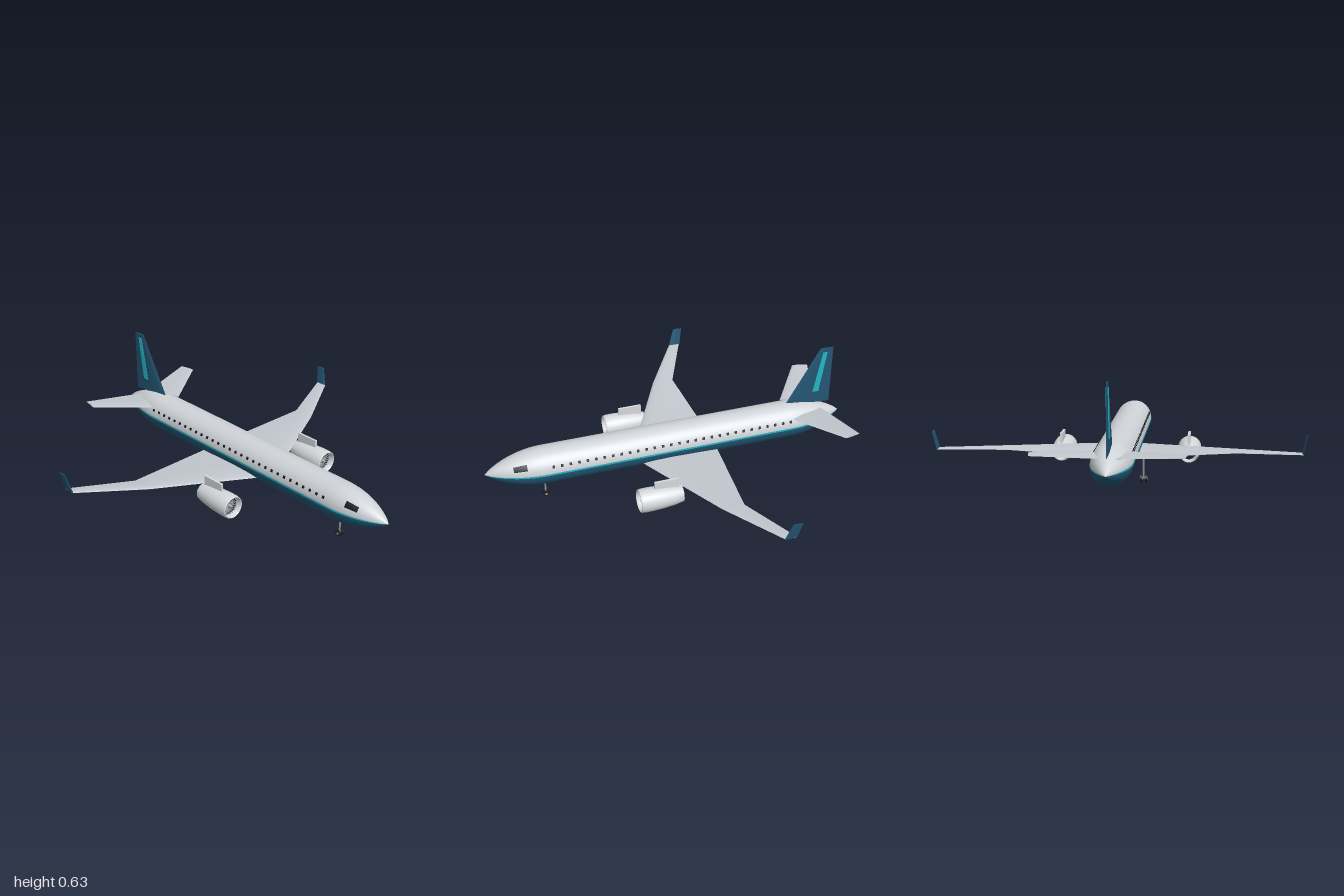
import * as THREE from 'three';
import { toCreasedNormals } from 'three/addons/utils/BufferGeometryUtils.js';

const mat = (name, color, side = THREE.FrontSide) => {
  const m = new THREE.MeshStandardMaterial({ color, side });
  m.name = name;
  return m;
};
const V = (x, y, z) => new THREE.Vector3(x, y, z);

// Fuselage radius along its length
const R = 0.103, AXIS = 0.209;
function bodyRadius(z) {
  const t = Math.max(0, (Math.abs(z) - 0.68) / 0.32);
  return R * Math.pow(Math.max(0, 1 - t * t), 0.85);
}

// Part of the fuselage skin between two angles (0 = straight down)
function skin(z0, z1, steps, phi, length, segments, lift = 0) {
  const pts = [];
  for (let i = 0; i <= steps; i++) {
    const z = z0 + (z1 - z0) * i / steps;
    pts.push(new THREE.Vector2(bodyRadius(z) + lift, z));
  }
  return new THREE.LatheGeometry(pts, segments, phi, length).rotateX(Math.PI / 2).translate(0, AXIS, 0);
}

// Aerofoil ring from leading to trailing edge, thickened along an axis
function foil(lead, trail, axis, thick) {
  return [[0, 0], [0.04, 0.5], [0.15, 0.85], [0.4, 1], [0.7, 0.6], [1, 0.08],
    [1, -0.08], [0.7, -0.6], [0.4, -1], [0.15, -0.85], [0.04, -0.5]]
    .map(([c, h]) => lead.clone().lerp(trail, c).addScaledVector(axis, h * thick / 2));
}

// Closed loft through rings, always facing outwards
function loft(rings) {
  const n = rings[0].length, tris = [];
  for (let k = 0; k < rings.length - 1; k++) {
    for (let i = 0; i < n; i++) {
      const j = (i + 1) % n, a = rings[k], b = rings[k + 1];
      tris.push([a[i], a[j], b[j]], [a[i], b[j], b[i]]);
    }
  }
  const first = rings[0], last = rings[rings.length - 1];
  for (let i = 1; i < n - 1; i++) {
    tris.push([first[0], first[i + 1], first[i]], [last[0], last[i], last[i + 1]]);
  }
  const c = first[0];
  let volume = 0;
  for (const [p, q, r] of tris) {
    volume += p.clone().sub(c).dot(q.clone().sub(c).cross(r.clone().sub(c)));
  }
  const pts = tris.flatMap(([p, q, r]) => volume > 0 ? [p, q, r] : [p, r, q]);
  const g = new THREE.BufferGeometry().setFromPoints(pts);
  g.computeVertexNormals();
  return toCreasedNormals(g, 0.6);
}

export function createModel() {
  const hull = mat('hull grey', 0xd0d4d9), wingGrey = mat('wing grey', 0xc3c9cf);
  const blue = mat('deep blue', 0x235673), cyan = mat('cyan accent', 0x22b8c4, THREE.DoubleSide);
  const dark = mat('dark glass', 0x14191e), nacelleGrey = mat('nacelle grey', 0xd6d9dc);
  const metal = mat('metal', 0x90969c), rubber = mat('rubber', 0x1c1e20);
  const model = new THREE.Group();
  model.name = 'airliner';
  const add = (name, geometry, material, parent = model) => {
    const m = new THREE.Mesh(geometry, material);
    m.name = name;
    parent.add(m);
    return m;
  };
  const group = (name) => {
    const g = new THREE.Group();
    g.name = name;
    model.add(g);
    return g;
  };
  const H = Math.PI / 2, Y = V(0, 1, 0), X = V(1, 0, 0);

  // Fuselage halves
  add('upperFuselage', skin(-1, 1, 80, H, Math.PI, 24), hull);
  add('lowerFuselage', skin(-1, 1, 80, -H, Math.PI, 24), blue);

  // Tail fin with a stripe on each face
  add('tailFin', loft([
    foil(V(0, 0.305, -0.68), V(0, 0.28, -0.94), X, 0.012),
    foil(V(0, 0.63, -0.865), V(0, 0.63, -0.94), X, 0.008)]), blue);
  const stripe = new THREE.Shape([[0.88, 0.605], [0.905, 0.605], [0.87, 0.36], [0.835, 0.36]]
    .map(([z, y]) => new THREE.Vector2(z, y)));
  add('finStripe', new THREE.ExtrudeGeometry(stripe, { depth: 0.014, bevelEnabled: false })
    .translate(0, 0, -0.007).rotateY(H), cyan);

  for (const s of [1, -1]) {
    const side = s > 0 ? 'left' : 'right';

    // Cheatline, cockpit glass and cabin windows
    add(side + 'Cheatline', skin(-0.995, 0.995, 80, s * H - 0.05, 0.1, 2, 0.0015), cyan);
    add(side + 'CockpitWindow', skin(0.785, 0.855, 6, s > 0 ? H + 0.42 : -H - 0.78, 0.36, 5, 0.003), dark);
    const windows = group(side + 'Windows');
    const tilt = 0.41;
    for (let i = 0; i < 30; i++) {
      const w = add('window', new THREE.BoxGeometry(0.006, 0.014, 0.013), dark, windows);
      w.position.set(s * R * Math.cos(tilt), AXIS + R * Math.sin(tilt), 0.65 - i * 0.0458);
      w.rotation.z = s * tilt;
    }

    // Wing, winglet and tailplane
    add(side + 'Wing', loft([
      foil(V(s * 0.06, 0.152, 0.175), V(s * 0.06, 0.155, -0.258), Y, 0.026),
      foil(V(s * 0.6, 0.179, -0.1), V(s * 0.6, 0.179, -0.22), Y, 0.014),
      foil(V(s * 0.935, 0.203, -0.305), V(s * 0.935, 0.203, -0.368), Y, 0.007)]), wingGrey);
    add(side + 'Winglet', loft([
      foil(V(s * 0.932, 0.2, -0.303), V(s * 0.932, 0.2, -0.37), X, 0.009),
      foil(V(s * 0.951, 0.3, -0.335), V(s * 0.951, 0.3, -0.388), X, 0.006)]), blue);
    add(side + 'Tailplane', loft([
      foil(V(s * 0.1, 0.267, -0.69), V(s * 0.03, 0.267, -0.875), Y, 0.013),
      foil(V(s * 0.372, 0.292, -0.875), V(s * 0.357, 0.292, -0.963), Y, 0.007)]), wingGrey);

    // Engine: hollow nacelle, fan and pylon
    const engine = group(side + 'Engine');
    engine.position.set(s * 0.347, 0.122, 0);
    const profile = [[0.034, 0.08], [0.04, 0.03], [0.045, 0.03], [0.055, 0.08], [0.061, 0.14], [0.064, 0.2],
      [0.064, 0.245], [0.061, 0.262], [0.057, 0.265], [0.053, 0.26], [0.052, 0.225]];
    add('nacelle', toCreasedNormals(new THREE.LatheGeometry(
      profile.map(([r, z]) => new THREE.Vector2(r, z)), 32).rotateX(H), 0.7), nacelleGrey, engine);
    add('fanDisc', new THREE.CircleGeometry(0.053, 32).translate(0, 0, 0.228), dark, engine);
    add('exhaustDisc', new THREE.CircleGeometry(0.036, 32).rotateY(Math.PI).translate(0, 0, 0.07), dark, engine);
    for (let i = 0; i < 18; i++) {
      const blade = add('fanBlade', new THREE.BoxGeometry(0.006, 0.037, 0.003)
        .rotateY(0.4).translate(0, 0.032, 0.236), metal, engine);
      blade.rotation.z = i * Math.PI / 9;
    }
    add('spinner', new THREE.ConeGeometry(0.015, 0.026, 20).rotateX(H).translate(0, 0, 0.245), metal, engine);
    add('pylon', new THREE.BoxGeometry(0.013, 0.055, 0.13).translate(0, 0.0755, 0.115), nacelleGrey, engine);
  }

  // Landing gear: strut, axle and a pair of wheels
  function gear(name, x, z, r, top, track) {
    const g = group(name);
    g.position.set(x, 0, z);
    add('strut', new THREE.CylinderGeometry(0.005, 0.005, top - r, 12).translate(0, (top + r) / 2, 0), metal, g);
    add('axle', new THREE.CylinderGeometry(0.003, 0.003, track * 2, 10).rotateZ(H).translate(0, r, 0), metal, g);
    for (const s of [1, -1]) {
      add('wheel', new THREE.CylinderGeometry(r, r, 0.01, 24).rotateZ(H).translate(s * track, r, 0), rubber, g);
      add('hub', new THREE.CylinderGeometry(r * 0.45, r * 0.45, 0.012, 16).rotateZ(H)
        .translate(s * track, r, 0), metal, g);
    }
  }
  gear('noseGear', 0, 0.685, 0.016, 0.13, 0.01);
  gear('leftMainGear', 0.116, -0.138, 0.022, 0.16, 0.013);
  gear('rightMainGear', -0.116, -0.138, 0.022, 0.16, 0.013);
  return model;
}
